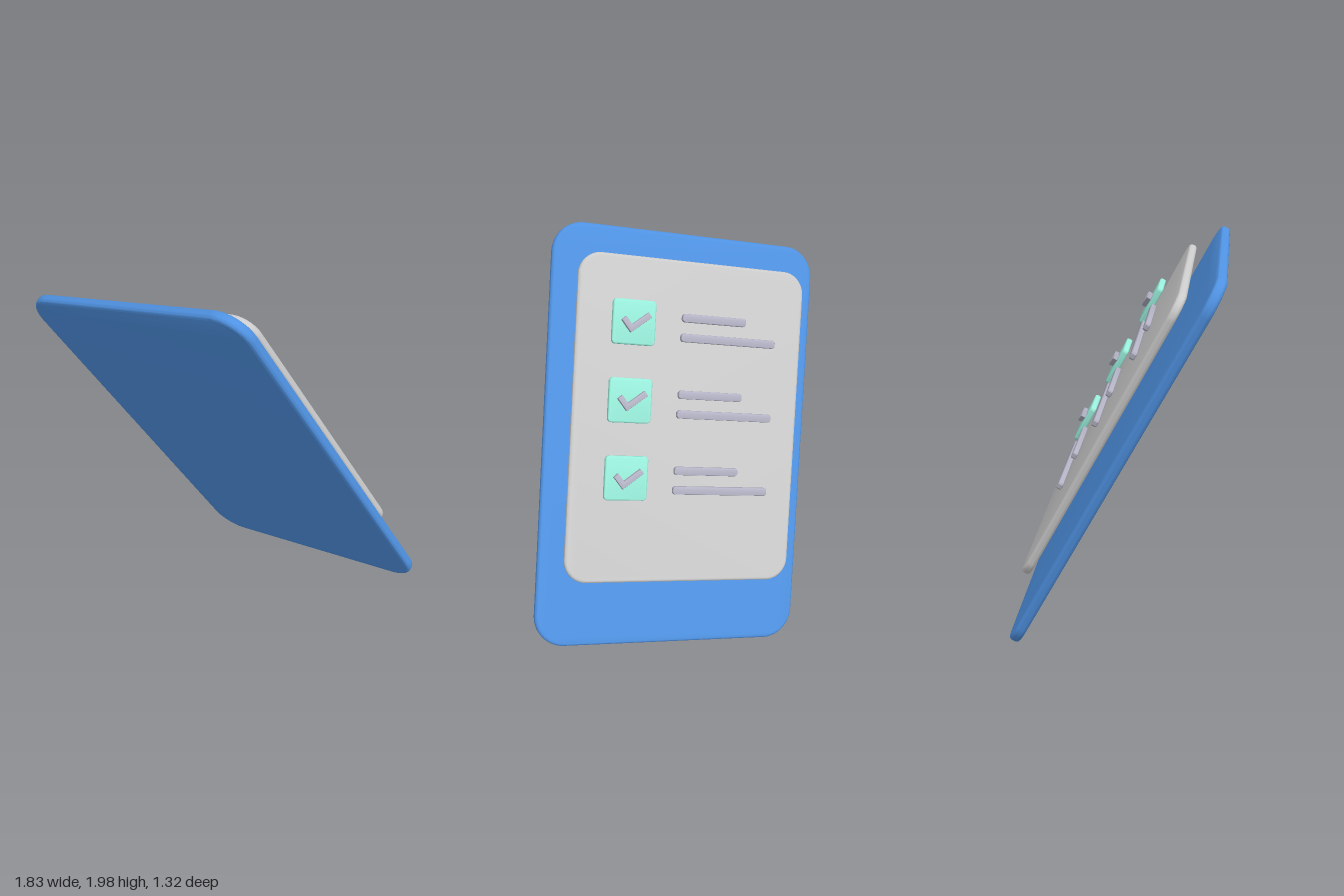
import * as THREE from 'three';
import { toCreasedNormals } from 'three/addons/utils/BufferGeometryUtils.js';

const material = (color) => new THREE.MeshStandardMaterial({ color });
const blue = material(0x4f92e2);
const grey = material(0xcccccc);
const teal = material(0x99eedb);
const lavender = material(0xb2b2c4);

function roundedRect(w, h, r) {
  const s = new THREE.Shape();
  const x = w / 2 - r, y = h / 2 - r;
  s.absarc(x, y, r, 0, Math.PI / 2);
  s.absarc(-x, y, r, Math.PI / 2, Math.PI);
  s.absarc(-x, -y, r, Math.PI, Math.PI * 1.5);
  s.absarc(x, -y, r, Math.PI * 1.5, Math.PI * 2);
  s.closePath();
  return s;
}

// Extrudes a shape to a plate with softly rounded rims, centred on its thickness
function plate(name, shape, thickness, bevel, mat) {
  const geometry = new THREE.ExtrudeGeometry(shape, {
    depth: thickness - 2 * bevel,
    bevelThickness: bevel,
    bevelSize: bevel,
    bevelOffset: -bevel,
    bevelSegments: 4,
    curveSegments: 10,
  });
  geometry.translate(0, 0, bevel - thickness / 2);
  const mesh = new THREE.Mesh(toCreasedNormals(geometry, 0.7), mat);
  mesh.name = name;
  return mesh;
}

function checkShape() {
  return new THREE.Shape([
    [-0.068, 0.006], [-0.022, -0.05], [0.078, 0.026],
    [0.06, 0.048], [-0.018, -0.012], [-0.048, 0.024],
  ].map(([x, y]) => new THREE.Vector2(x, y)));
}

export function createModel() {
  const model = new THREE.Group();
  model.name = 'checklistBoard';

  // Backing board and the sheet floating in front of it
  model.add(plate('board', roundedRect(1.36, 2.02, 0.15), 0.05, 0.018, blue));
  const sheet = plate('sheet', roundedRect(1.16, 1.55, 0.11), 0.04, 0.015, grey);
  sheet.position.set(0.005, 0.09, 0.105);
  model.add(sheet);

  // Three rows: tick box, tick and two text bars
  for (let i = 0; i < 3; i++) {
    const row = new THREE.Group();
    row.name = 'row' + (i + 1);
    row.position.y = 0.55 - i * 0.365;

    const box = plate('tickBox', roundedRect(0.21, 0.21, 0.02), 0.03, 0.008, teal);
    box.position.set(-0.311, 0, 0.16);
    const tick = plate('tick', checkShape(), 0.024, 0.004, lavender);
    tick.position.set(-0.311, 0, 0.187);
    const shortBar = plate('shortBar', roundedRect(0.33, 0.04, 0.015), 0.026, 0.007, lavender);
    shortBar.position.set(0.095, 0.04, 0.157);
    const longBar = plate('longBar', roundedRect(0.495, 0.04, 0.015), 0.026, 0.007, lavender);
    longBar.position.set(0.175, -0.054, 0.157);

    row.add(box, tick, shortBar, longBar);
    model.add(row);
  }

  // Tilt the whole board: its face looks up, back and to the left
  const across = new THREE.Vector3(-0.685, -0.229, -0.692).normalize();
  const facing = across.clone().cross(new THREE.Vector3(-0.488, 0.849, 0.2)).normalize();
  const up = facing.clone().cross(across);
  model.quaternion.setFromRotationMatrix(new THREE.Matrix4().makeBasis(across, up, facing));
  model.position.y = 1;

  const root = new THREE.Group();
  root.name = 'checklist';
  root.add(model);
  return root;
}
